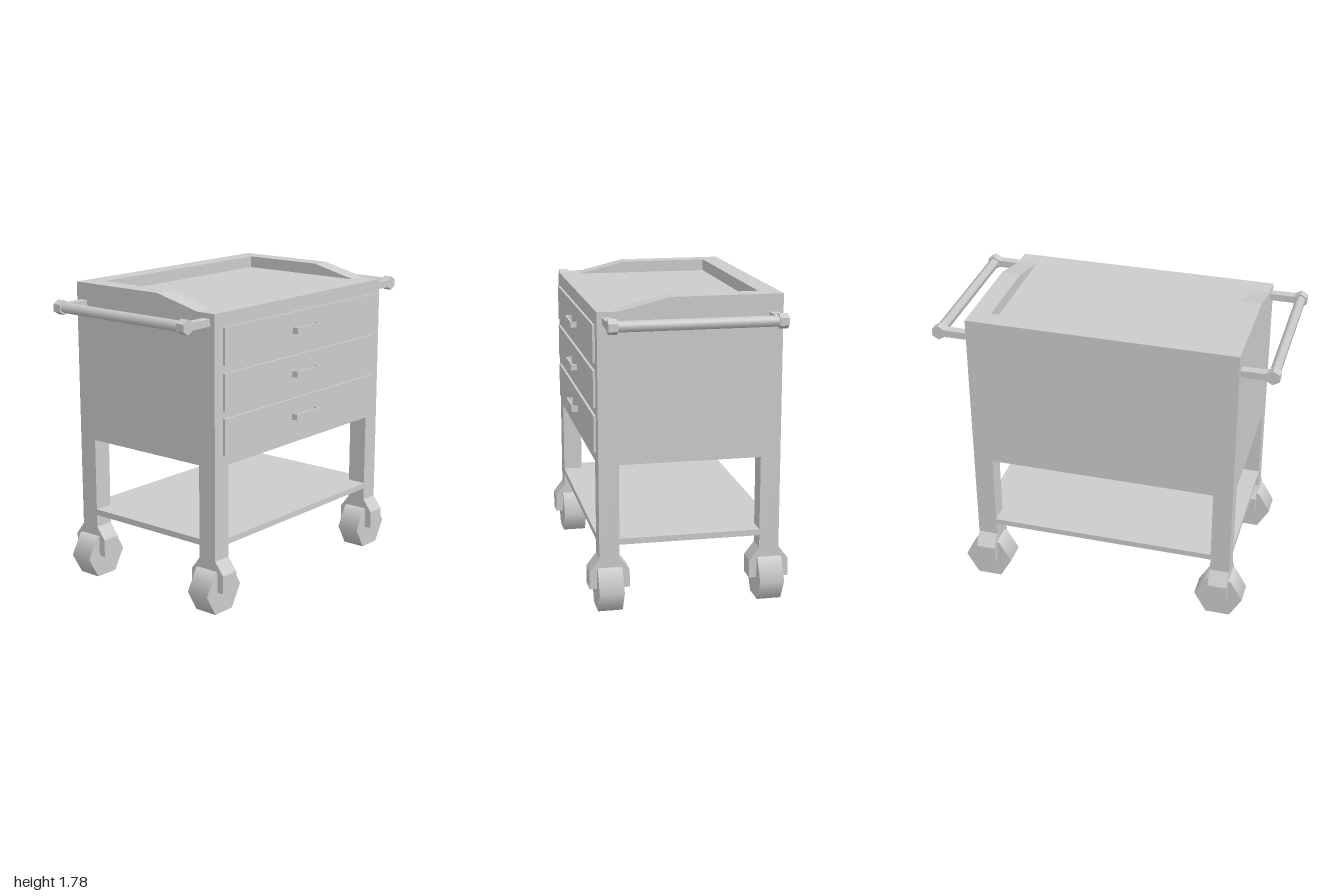
import * as THREE from 'three';

const material = new THREE.MeshStandardMaterial({ color: 0xcccccc });

function add(parent, name, geometry, x = 0, y = 0, z = 0) {
  const mesh = new THREE.Mesh(geometry, material);
  mesh.name = name;
  mesh.position.set(x, y, z);
  parent.add(mesh);
  return mesh;
}

const box = (w, h, d) => new THREE.BoxGeometry(w, h, d);

// Extrusion of an outline, centred on its depth
function slab(points, depth) {
  const shape = new THREE.Shape(points.map(([x, y]) => new THREE.Vector2(x, y)));
  return new THREE.ExtrudeGeometry(shape, { depth, bevelEnabled: false }).translate(0, 0, -depth / 2);
}

// Six-sided rod along x, smooth around its rim
const hexRod = (radius, length, turn) =>
  new THREE.CylinderGeometry(radius, radius, length, 6, 1, false, turn).rotateZ(Math.PI / 2);

const W = 0.522, D = 0.785, POST = 0.115; // half width, half depth, post thickness
const DECK = 1.71, RIM = 1.78, BELLY = 0.85;

// Push bar with two hex-ended arms, facing +z
function pushBar() {
  const group = new THREE.Group();
  group.name = 'pushBar';
  const y = 1.66, z = 0.963;
  add(group, 'bar', hexRod(0.031, 0.93, Math.PI / 2), 0, y, z);
  const outline = [
    [D, y - 0.02], [z - 0.037, y - 0.021], [z, y - 0.0425], [z + 0.037, y - 0.021],
    [z + 0.037, y + 0.021], [z, y + 0.0425], [z - 0.037, y + 0.021], [D, y + 0.02],
  ];
  const arm = slab(outline, 0.052).rotateY(-Math.PI / 2);
  for (const s of [-1, 1]) add(group, 'barArm', arm, s * 0.467);
  return group;
}

// Fork and wheel under a post
function caster() {
  const group = new THREE.Group();
  group.name = 'caster';
  const p = POST / 2, o = 0.115, i = 0.072;
  add(group, 'fork', slab([
    [-o, 0.13], [-i, 0.13], [-i, 0.253], [i, 0.253], [i, 0.13], [o, 0.13],
    [o, 0.235], [p, 0.31], [-p, 0.31], [-o, 0.235],
  ], POST));
  add(group, 'wheel', hexRod(0.145, 0.142, 0), 0, 0.126, 0);
  return group;
}

export function createModel() {
  const cart = new THREE.Group();
  cart.name = 'toolCart';

  // Cabinet body and lower shelf
  add(cart, 'cabinet', box(2 * W, DECK - BELLY, 2 * D), 0, (DECK + BELLY) / 2, 0);
  add(cart, 'shelf', box(2 * W, 0.035, 2 * D), 0, 0.402, 0);

  // Raised rim on three sides, sloping down toward the drawer side
  add(cart, 'rearRim', box(POST, RIM - DECK, 2 * (D - POST)), -W + POST / 2, (RIM + DECK) / 2, 0);
  const rim = slab([[-W, DECK], [0.4, DECK], [0.11, RIM], [-W, RIM]], POST);
  for (const s of [-1, 1]) add(cart, 'sideRim', rim, 0, 0, s * (D - POST / 2));

  // Posts and casters
  for (const sx of [-1, 1]) {
    for (const sz of [-1, 1]) {
      const x = sx * (W - POST / 2), z = sz * (D - POST / 2);
      add(cart, 'post', box(POST, BELLY - 0.31, POST), x, (BELLY + 0.31) / 2, z);
      const wheelSet = caster();
      wheelSet.position.set(x, 0, z);
      cart.add(wheelSet);
    }
  }

  // Drawers with U-shaped pulls
  const h = 0.113, t = 0.011;
  const pull = slab([
    [0, -h], [0.037, -h], [0.037, h], [0, h], [0, h - t], [0.037 - t, h - t], [0.037 - t, -h + t], [0, -h + t],
  ], 0.036).rotateX(Math.PI / 2);
  for (const y of [1.015, 1.269, 1.524]) {
    add(cart, 'drawer', box(0.014, 0.21, 1.43), W + 0.007, y, 0);
    add(cart, 'drawerPull', pull, W + 0.014, y, 0);
  }

  // Push bars at both ends
  const rearBar = pushBar();
  rearBar.rotation.y = Math.PI;
  cart.add(pushBar(), rearBar);

  return cart;
}
